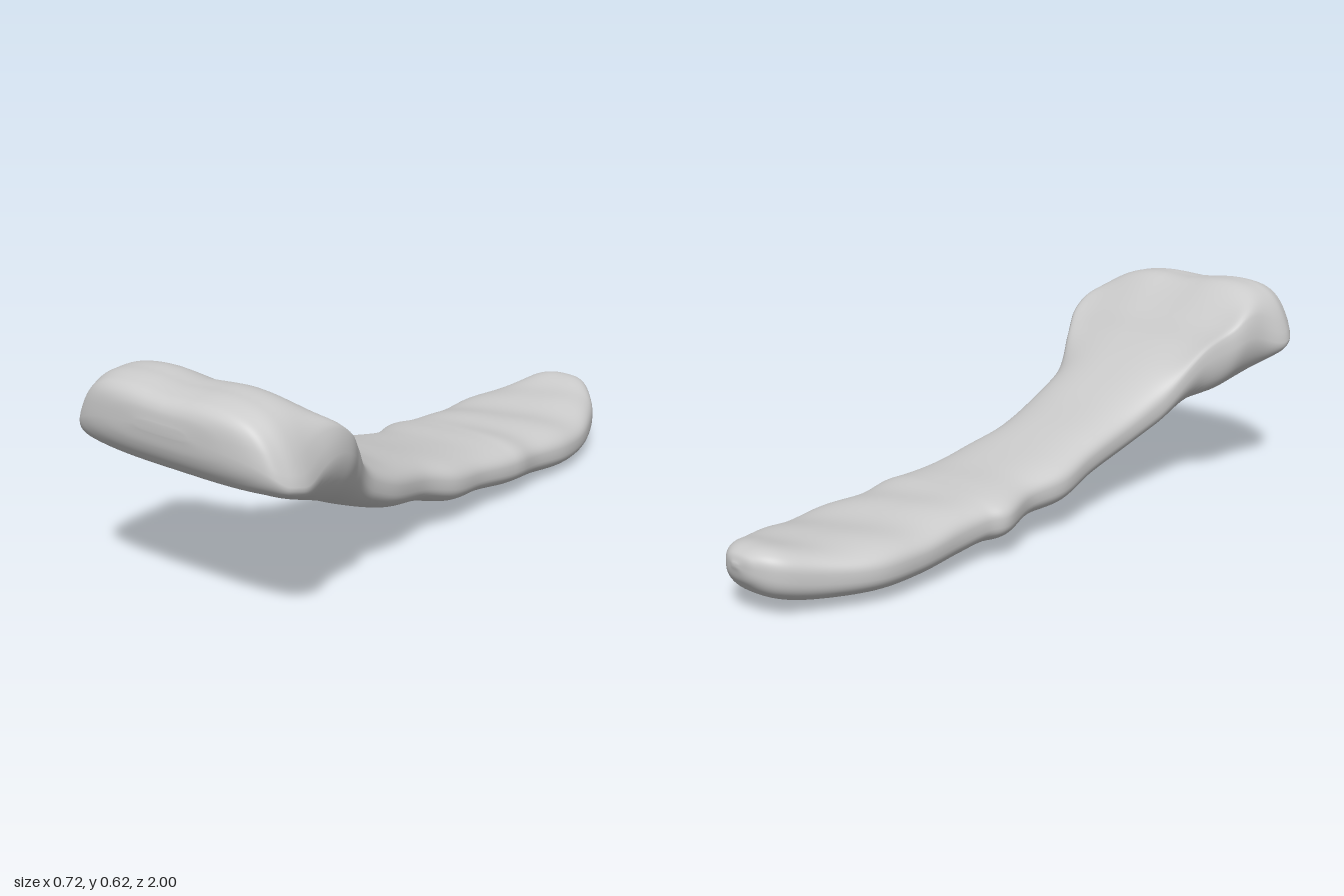
import * as THREE from 'three';

// Stations along the blade: z, right edge x, left edge x, underside y, top y
const STATIONS = [
  [-1.0, -0.03, -0.01, 0.138, 0.15],
  [-0.985, -0.085, 0.035, 0.095, 0.175],
  [-0.94, -0.137, 0.085, 0.052, 0.187],
  [-0.85, -0.178, 0.15, 0.022, 0.175],
  [-0.7, -0.235, 0.208, 0.009, 0.158],
  [-0.55, -0.237, 0.23, 0.007, 0.16],
  [-0.4, -0.222, 0.216, 0.018, 0.17],
  [-0.3, -0.224, 0.225, 0.03, 0.18],
  [-0.23, -0.244, 0.222, 0.035, 0.183],
  [-0.1, -0.202, 0.21, 0.054, 0.195],
  [0.03, -0.215, 0.216, 0.065, 0.218],
  [0.17, -0.196, 0.2, 0.106, 0.253],
  [0.35, -0.19, 0.232, 0.15, 0.305],
  [0.5, -0.214, 0.248, 0.205, 0.382],
  [0.6, -0.258, 0.296, 0.252, 0.452],
  [0.68, -0.332, 0.336, 0.284, 0.525],
  [0.8, -0.352, 0.346, 0.332, 0.612],
  [0.89, -0.364, 0.362, 0.378, 0.62],
  [0.95, -0.335, 0.34, 0.405, 0.61],
  [0.978, -0.285, 0.29, 0.435, 0.596],
  [0.994, -0.2, 0.2, 0.47, 0.572],
  [1.0, -0.08, 0.08, 0.51, 0.535],
];
const ROWS = 176;
const SIDES = 72;

const smooth = THREE.MathUtils.smoothstep;
const signedPow = (v, p) => Math.sign(v) * Math.abs(v) ** p;

// Smooth curve through two columns of the station table
const rail = (a, b) => new THREE.CatmullRomCurve3(
  STATIONS.map((s) => new THREE.Vector3(s[0], s[a], s[b])), false, 'catmullrom', 0.5);

function bladeGeometry() {
  const edges = rail(1, 2), heights = rail(3, 4);
  const positions = [], index = [];

  for (let i = 0; i <= ROWS; i++) {
    const e = edges.getPoint(i / ROWS), h = heights.getPoint(i / ROWS);
    const z = THREE.MathUtils.clamp(e.x, -1, 1);
    const cx = (e.y + e.z) / 2, halfW = (e.z - e.y) / 2;
    const cy = (h.y + h.z) / 2, halfH = (h.z - h.y) / 2;
    const head = smooth(z, 0.55, 0.85);
    const ripple = smooth(-z, 0.05, 0.45) * (1 - smooth(-z, 0.8, 0.97));
    const power = 0.72 - 0.18 * head;
    // The outer edges sweep up under the flare and droop at the front of the head
    const sweep = 0.075 * smooth(z, 0.46, 0.66) - 0.11 * smooth(z, 0.7, 0.9)
      + 0.035 * smooth(z, 0.93, 1);

    for (let j = 0; j < SIDES; j++) {
      const a = (j / SIDES) * Math.PI * 2;
      // Rounded-box section, narrower at the top of the head
      const u = signedPow(Math.cos(a), power), v = signedPow(Math.sin(a), power);
      const x = cx + halfW * u * (1 - head * 0.14 * smooth(v, -0.4, 1));
      let y = cy + halfH * v + sweep * Math.abs(u) ** 3 * (1 - v * v);
      // Slight sideways tilt, dished top and diagonal ripples
      y -= 0.038 * x;
      if (v > 0) {
        y += v * ripple * 0.004 * Math.sin(z * 24 + x * 9);
        y -= v * head * halfH * 0.1 * Math.exp(-((x / 0.08) ** 2));
      }
      positions.push(x, y, z);
    }
  }
  for (let i = 0; i < ROWS; i++) {
    for (let j = 0; j < SIDES; j++) {
      const a = i * SIDES + j, b = i * SIDES + (j + 1) % SIDES;
      index.push(a, b, a + SIDES, b, b + SIDES, a + SIDES);
    }
  }

  // Close both ends
  const [z0, l0, r0, b0, t0] = STATIONS[0];
  const [z1, l1, r1, b1, t1] = STATIONS[STATIONS.length - 1];
  const tip = positions.length / 3, last = ROWS * SIDES;
  positions.push((l0 + r0) / 2, (b0 + t0) / 2, z0, (l1 + r1) / 2, (b1 + t1) / 2, z1);
  for (let j = 0; j < SIDES; j++) {
    const k = (j + 1) % SIDES;
    index.push(tip, k, j, tip + 1, last + j, last + k);
  }

  const geometry = new THREE.BufferGeometry();
  geometry.setAttribute('position', new THREE.Float32BufferAttribute(positions, 3));
  geometry.setIndex(index);
  geometry.computeVertexNormals();
  return geometry;
}

export function createModel() {
  const group = new THREE.Group();
  group.name = 'curvedBlade';
  const blade = new THREE.Mesh(
    bladeGeometry(),
    new THREE.MeshStandardMaterial({ color: 0xcccccc, roughness: 0.8 }));
  blade.name = 'bladeWithFlaredHead';
  group.add(blade);
  return group;
}
